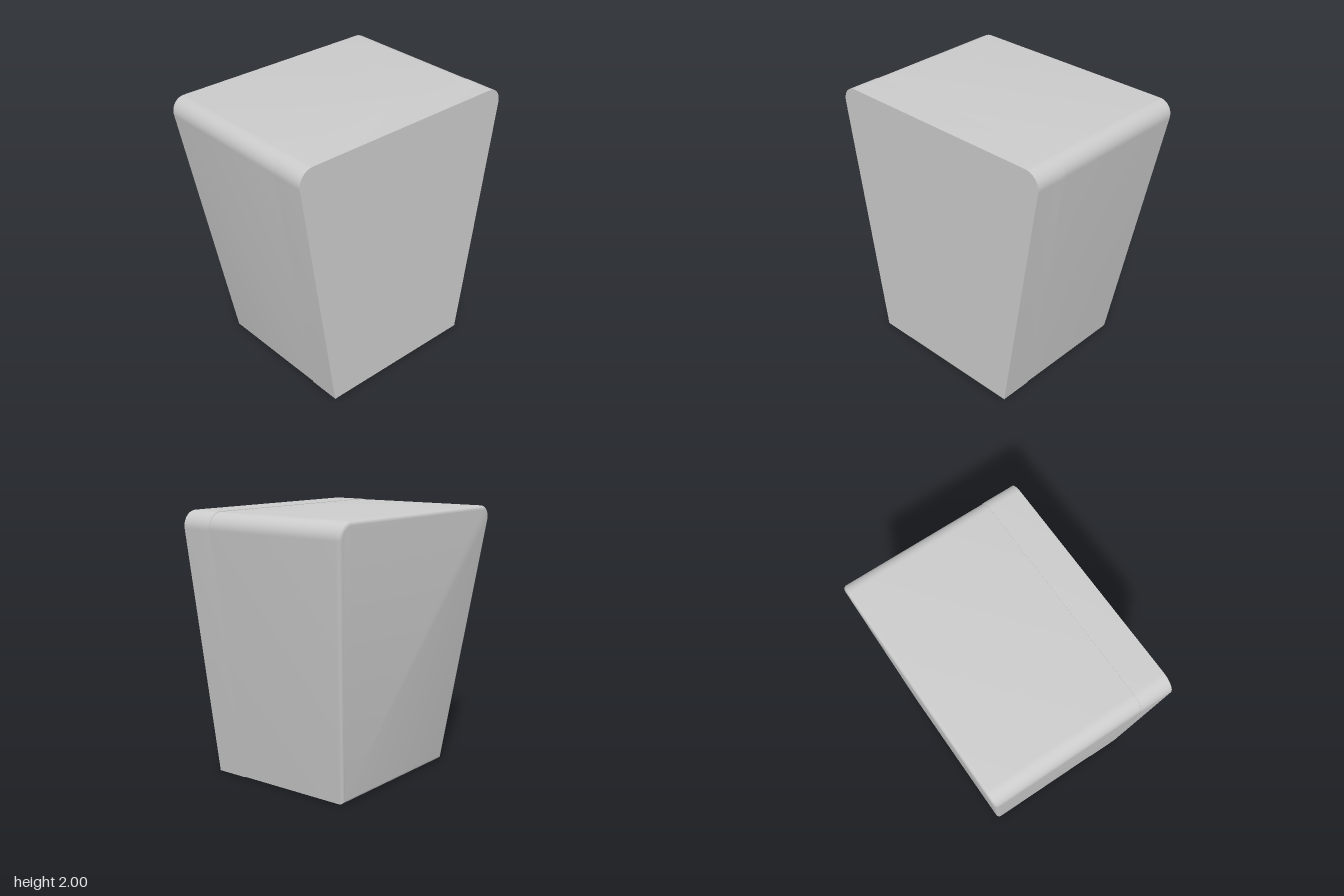
import * as THREE from 'three';
import { toCreasedNormals } from 'three/addons/utils/BufferGeometryUtils.js';

const CORNER = { x: 0.815, y: 1.89, r: 0.11 };
const SLOPE = 0.153; // outward lean of the side walls
const BOTTOM = 0.637; // half width at the floor
const backZ = (y) => -0.485 - 0.1075 * y;

// Tapered outline with rounded top corners, counter-clockwise, shrunk by inset
function outline(inset) {
  const half = [new THREE.Vector2(BOTTOM + SLOPE * inset - 1.012 * inset, inset)];
  const start = -Math.atan(SLOPE);
  const steps = 12;
  for (let i = 0; i <= steps; i++) {
    const a = start + (Math.PI / 2 - start) * (i / steps);
    const r = CORNER.r - inset;
    half.push(new THREE.Vector2(CORNER.x + r * Math.cos(a), CORNER.y + r * Math.sin(a)));
  }
  const mirrored = half.map((p) => new THREE.Vector2(-p.x, p.y)).reverse();
  return [...half, ...mirrored];
}

// Skin rings from front to back and close both ends
function loft(sections) {
  const positions = [];
  const index = [];
  const n = outline(0).length;
  for (const { inset, z } of sections) {
    for (const p of outline(inset)) positions.push(p.x, p.y, z(p.y));
  }
  for (let s = 0; s < sections.length - 1; s++) {
    for (let i = 0; i < n; i++) {
      const a = s * n + i;
      const b = s * n + ((i + 1) % n);
      index.push(a, a + n, b, b, a + n, b + n);
    }
  }
  const last = (sections.length - 1) * n;
  for (let i = 1; i < n - 1; i++) {
    index.push(0, i, i + 1);
    index.push(last, last + i + 1, last + i);
  }
  const geometry = new THREE.BufferGeometry();
  geometry.setAttribute('position', new THREE.Float32BufferAttribute(positions, 3));
  geometry.setIndex(index);
  return toCreasedNormals(geometry, 0.55);
}

export function createModel() {
  const group = new THREE.Group();
  group.name = 'taperedBin';
  const material = new THREE.MeshStandardMaterial({ color: 0xcccccc });
  const add = (name, sections) => {
    const mesh = new THREE.Mesh(loft(sections), material);
    mesh.name = name;
    group.add(mesh);
  };

  // Main body: sloping back with a softened rim
  const gap = 0.003;
  const bevel = 0.03;
  const body = [{ inset: gap, z: () => 0.45 }];
  for (let i = 0; i <= 5; i++) {
    const a = (i / 5) * (Math.PI / 2);
    body.push({
      inset: gap + bevel * (1 - Math.cos(a)),
      z: (y) => backZ(y) + bevel * (1 - Math.sin(a)),
    });
  }
  add('body', body);

  // Front panel: slightly proud of the body, with a flat face
  add('frontPanel', [
    { inset: 0, z: () => 0.7 },
    { inset: 0, z: () => 0.45 },
  ]);
  return group;
}
